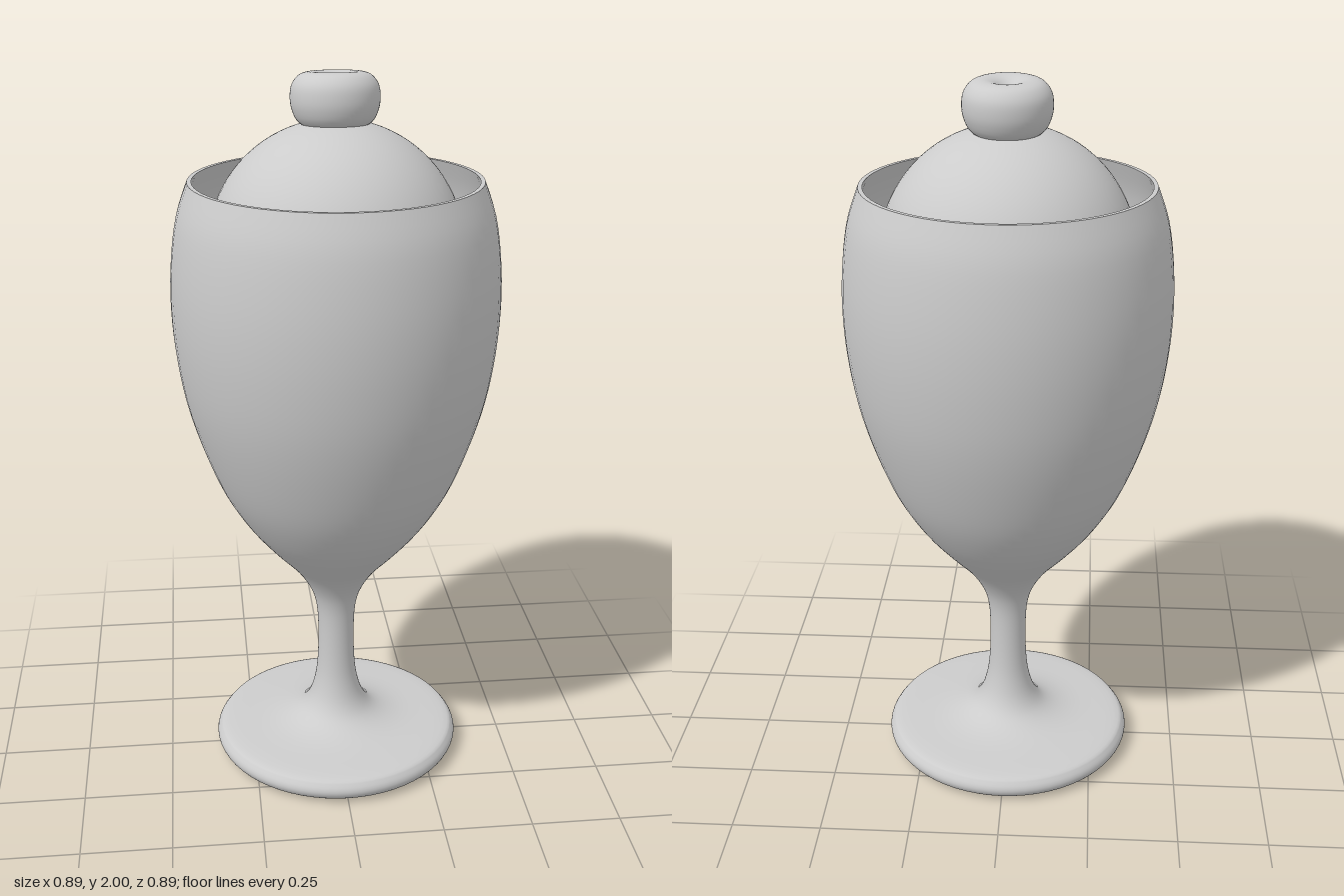
import * as THREE from 'three';

const SEGMENTS = 64;
const material = new THREE.MeshStandardMaterial({ color: 0xcccccc, side: THREE.DoubleSide });

// Smooth profile through [radius, height] points
function smooth(points, count) {
  return new THREE.SplineCurve(points.map(([r, y]) => new THREE.Vector2(r, y)))
    .getPoints(count)
    .map((p) => new THREE.Vector2(Math.max(p.x, 0), p.y));
}

function turned(name, profile) {
  const mesh = new THREE.Mesh(new THREE.LatheGeometry(profile, SEGMENTS), material);
  mesh.name = name;
  return mesh;
}

function disc(name, radius, y, facing) {
  const mesh = new THREE.Mesh(new THREE.CircleGeometry(radius, SEGMENTS), material);
  mesh.name = name;
  mesh.rotation.x = -facing * Math.PI / 2;
  mesh.position.y = y;
  return mesh;
}

export function createModel() {
  const group = new THREE.Group();
  group.name = 'dessertGoblet';

  // Goblet: foot, stem and bowl in one continuous profile
  const outer = [
    [0.31, 0], [0.345, 0.012], [0.36, 0.035], [0.352, 0.058], [0.325, 0.072],
    [0.2, 0.082], [0.125, 0.105], [0.085, 0.145], [0.063, 0.21], [0.054, 0.29],
    [0.053, 0.4], [0.06, 0.47], [0.08, 0.525], [0.12, 0.585], [0.185, 0.655],
    [0.255, 0.74], [0.322, 0.85], [0.378, 0.99], [0.418, 1.13], [0.44, 1.27],
    [0.447, 1.4], [0.441, 1.52], [0.424, 1.63], [0.393, 1.72],
  ];
  group.add(turned('gobletOutside', smooth(outer, 92)));
  group.add(disc('footUnderside', 0.31, 0, -1));

  // Inside wall, following the bowl at a thin offset
  const inner = outer.slice(13).reverse().map(([r, y]) => [r - 0.012, y]);
  group.add(turned('bowlInside', smooth([...inner, [0, 0.56]], 40)));
  group.add(turned('rim', [new THREE.Vector2(0.393, 1.72), new THREE.Vector2(0.381, 1.72)]));

  // Level filling with a round scoop resting on it
  group.add(disc('filling', 0.43, 1.53, 1));
  const scoop = new THREE.Mesh(
    new THREE.SphereGeometry(0.345, SEGMENTS, 24, 0, Math.PI * 2, 0, Math.PI / 2), material);
  scoop.name = 'scoop';
  scoop.position.y = 1.53;
  group.add(scoop);

  // Dimpled cherry, leaning slightly backwards
  const cherry = turned('cherry', smooth([
    [0, -0.085], [0.05, -0.085], [0.095, -0.065], [0.114, -0.03], [0.118, 0.005],
    [0.112, 0.035], [0.092, 0.058], [0.062, 0.065], [0.035, 0.058], [0.015, 0.042], [0, 0.036],
  ], 40));
  cherry.position.set(0, 1.93, -0.021);
  cherry.rotation.x = -0.07;
  group.add(cherry);

  return group;
}
